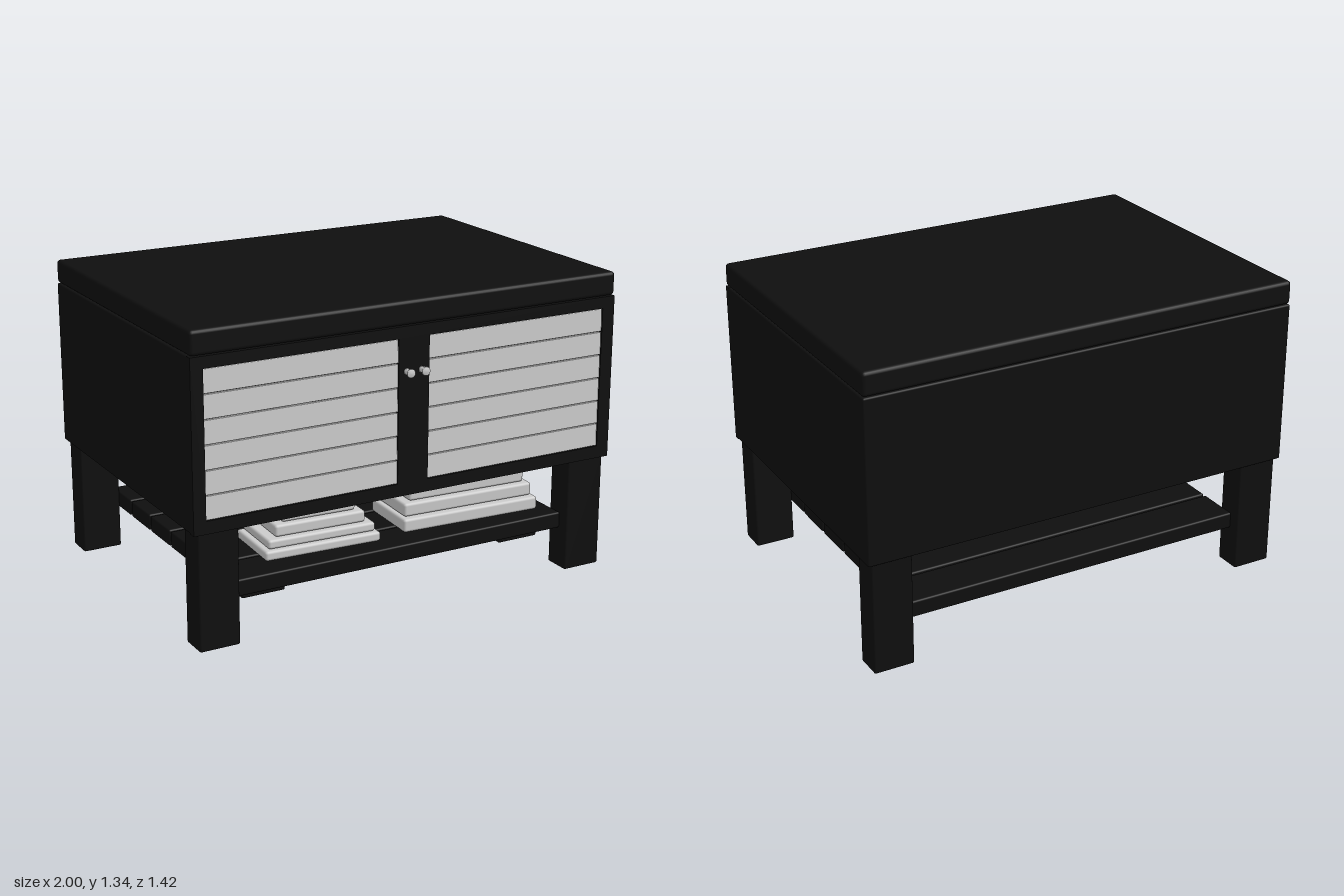
import * as THREE from 'three';
import { RoundedBoxGeometry } from 'three/addons/geometries/RoundedBoxGeometry.js';

export function createModel() {
  const model = new THREE.Group();
  const black = new THREE.MeshStandardMaterial({ color: 0x0f0f0f });
  const grey = new THREE.MeshStandardMaterial({ color: 0xcccccc });

  // Softly bevelled box given by its extents
  function box(name, [x0, x1], [y0, y1], [z0, z1], material = black, bevel = 0.008) {
    const geometry = new RoundedBoxGeometry(x1 - x0, y1 - y0, z1 - z0, 2, bevel);
    const mesh = new THREE.Mesh(geometry, material);
    mesh.name = name;
    mesh.position.set((x0 + x1) / 2, (y0 + y1) / 2, (z0 + z1) / 2);
    model.add(mesh);
    return mesh;
  }

  // Cabinet body behind the front frame, and the lid
  box('cabinetBody', [-1, 1], [0.505, 1.23], [-0.71, 0.65]);
  box('lid', [-1, 1], [1.232, 1.335], [-0.71, 0.67], black, 0.016);

  // Front frame with two door openings
  const panels = [[-0.945, -0.075], [0.07, 0.94]];
  const bottom = 0.56, top = 1.18;
  const rect = (path, x0, x1, y0, y1) =>
    path.moveTo(x0, y0).lineTo(x1, y0).lineTo(x1, y1).lineTo(x0, y1).closePath();
  const outline = new THREE.Shape();
  rect(outline, -1, 1, 0.505, 1.23);
  for (const [x0, x1] of panels) {
    const hole = new THREE.Path();
    rect(hole, x0, x1, bottom, top);
    outline.holes.push(hole);
  }
  const frame = new THREE.Mesh(
    new THREE.ExtrudeGeometry(outline, { depth: 0.03, bevelEnabled: false }), black);
  frame.name = 'frontFrame';
  frame.position.z = 0.64;
  model.add(frame);

  // Slightly tilted boards filling each door
  const boards = 6, pitch = (top - bottom) / boards;
  for (const [x0, x1] of panels) {
    for (let i = 0; i < boards; i++) {
      const y = bottom + i * pitch;
      const board = box('doorBoard', [x0, x1], [y + 0.002, y + pitch - 0.003], [0.645, 0.665], grey, 0.002);
      board.rotation.x = -0.04;
    }
  }

  // Flared door knobs
  const knobProfile = [[0, 0], [0.014, 0], [0.013, 0.012], [0.016, 0.028], [0.019, 0.034], [0.018, 0.04], [0, 0.041]]
    .map(([r, h]) => new THREE.Vector2(r, h));
  for (const x of [-0.038, 0.033]) {
    const knob = new THREE.Mesh(new THREE.LatheGeometry(knobProfile, 20), grey);
    knob.name = 'knob';
    knob.rotation.x = Math.PI / 2;
    knob.position.set(x, 1.04, 0.669);
    model.add(knob);
  }

  // Four square legs
  for (const x of [[-0.98, -0.8], [0.8, 0.98]]) {
    for (const z of [[-0.695, -0.572], [0.535, 0.66]]) box('leg', x, [0, 0.51], z);
  }

  // Slatted lower shelf on two cross bars
  for (let i = 0; i < 6; i++) {
    const z = 0.612 - i * 0.2125;
    box('shelfSlat', [-0.8, 0.8], [0.185, 0.258], [z - 0.198, z]);
  }
  for (const x of [[-0.73, -0.53], [0.53, 0.73]]) box('shelfCrossBar', x, [0.135, 0.186], [-0.57, 0.535]);

  // Stacks of books, each turned slightly: [x0, x1, y0, y1, depth]
  const turn = 0.05;
  const books = [
    [-0.6, -0.05, 0.258, 0.3, 0.33],
    [-0.58, -0.07, 0.302, 0.342, 0.3],
    [-0.54, -0.11, 0.344, 0.396, 0.26],
    [-0.5, -0.15, 0.398, 0.432, 0.22],
    [-0.48, -0.165, 0.434, 0.472, 0.165],
    [0.065, 0.75, 0.258, 0.317, 0.34],
    [0.08, 0.73, 0.319, 0.378, 0.29],
    [0.115, 0.7, 0.38, 0.435, 0.245],
  ];
  for (const [x0, x1, y0, y1, depth] of books) {
    const inset = turn * depth / 2;
    const d = (depth - turn * (x1 - x0)) / 2;
    const book = box('book', [x0 + inset, x1 - inset], [y0, y1], [0.36 - d, 0.36 + d], grey, 0.012);
    book.rotation.y = -turn;
  }
  return model;
}
